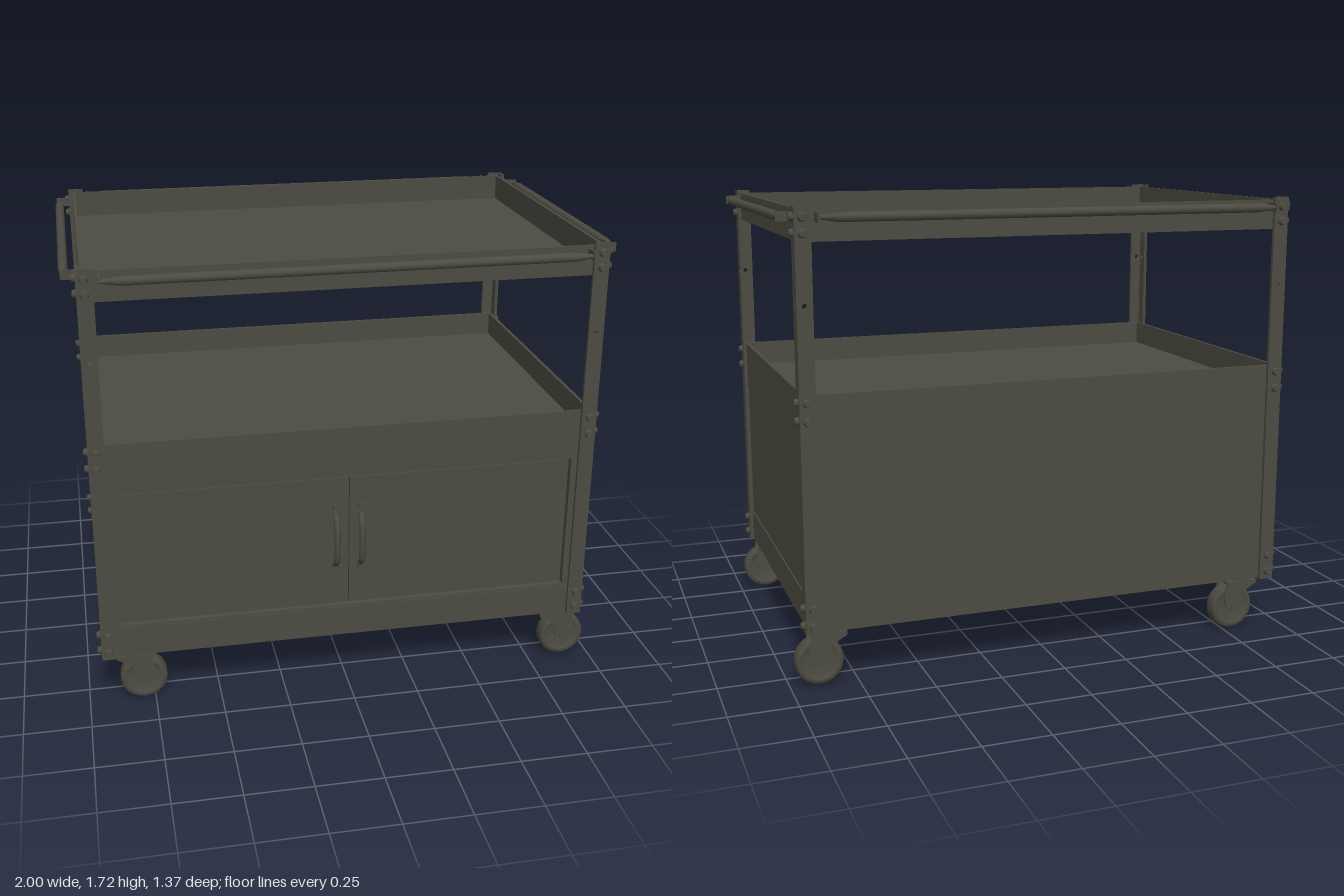
import * as THREE from 'three';

export function createModel() {
  const cart = new THREE.Group();
  cart.name = 'utilityCart';
  const steel = new THREE.MeshStandardMaterial({ color: 0x4d4c42 });
  steel.name = 'olive grey steel';

  const add = (parent, name, geometry, x = 0, y = 0, z = 0) => {
    const mesh = new THREE.Mesh(geometry, steel);
    mesh.name = name;
    mesh.position.set(x, y, z);
    parent.add(mesh);
    return mesh;
  };
  const box = (parent, name, w, h, d, x, y, z) =>
    add(parent, name, new THREE.BoxGeometry(w, h, d), x, y, z);
  const group = (name, parent = cart) => {
    const g = new THREE.Group();
    g.name = name;
    parent.add(g);
    return g;
  };
  const rectangle = (Kind, x0, y0, x1, y1) => new Kind([
    new THREE.Vector2(x0, y0), new THREE.Vector2(x1, y0),
    new THREE.Vector2(x1, y1), new THREE.Vector2(x0, y1)]);
  const extrude = (shape, depth) =>
    new THREE.ExtrudeGeometry(shape, { depth, bevelEnabled: false, curveSegments: 8 });

  // Open trays: floor and four thin walls
  function tray(name, y0, y1) {
    const g = group(name);
    const h = y1 - y0, y = (y0 + y1) / 2, t = 0.012;
    box(g, 'trayFloor', 1.86, t, 1.24, 0, y0 + t / 2, 0);
    for (const s of [-1, 1]) {
      box(g, 'trayLongWall', 1.86, h, t, 0, y, s * (0.62 - t / 2));
      box(g, 'trayEndWall', t, h, 1.24 - 2 * t, s * (0.93 - t / 2), y, 0);
    }
  }
  tray('topTray', 1.6, 1.71);
  tray('middleTray', 0.968, 1.075);
  tray('bottomTray', 0.21, 0.33);

  // Cabinet: back and side panels with a narrow strip above each
  const cabinet = group('cabinet');
  box(cabinet, 'backPanel', 1.84, 0.56, 0.012, 0, 0.605, -0.609);
  box(cabinet, 'backStrip', 1.84, 0.09, 0.012, 0, 0.925, -0.612);
  for (const s of [-1, 1]) {
    box(cabinet, 'sidePanel', 0.012, 0.56, 1.2, s * 0.919, 0.605, 0);
    box(cabinet, 'sideStrip', 0.012, 0.09, 1.2, s * 0.922, 0.925, 0);
  }

  // Front frame with an opening for the doors
  const frame = rectangle(THREE.Shape, -0.92, 0.325, 0.92, 0.97);
  frame.holes.push(rectangle(THREE.Path, -0.865, 0.338, 0.865, 0.878));
  add(cabinet, 'doorFrame', extrude(frame, 0.025), 0, 0, 0.591);
  box(cabinet, 'doorBacking', 1.8, 0.6, 0.006, 0, 0.62, 0.588);

  // Doors with pull handles
  for (const s of [-1, 1]) {
    const door = group(s > 0 ? 'leftDoor' : 'rightDoor', cabinet);
    box(door, 'doorPanel', 0.851, 0.525, 0.014, s * 0.4295, 0.608, 0.6);
    const x = s * 0.048;
    const path = new THREE.CatmullRomCurve3([
      [0.51, 0.605], [0.535, 0.63], [0.58, 0.64], [0.65, 0.64], [0.695, 0.63], [0.72, 0.605],
    ].map(([y, z]) => new THREE.Vector3(x, y, z)));
    add(door, 'doorHandle', new THREE.TubeGeometry(path, 16, 0.012, 8));
    for (const y of [0.5, 0.755]) {
      box(door, 'handleFoot', 0.024, 0.024, 0.012, x, y, 0.612);
      const screw = add(door, 'handleScrew', new THREE.CylinderGeometry(0.009, 0.009, 0.012, 8), x, y, 0.62);
      screw.rotation.x = Math.PI / 2;
    }
  }

  // Angle-iron corner posts, each flange pierced by a small hole
  const flange = rectangle(THREE.Shape, 0, 0.207, 0.058, 1.72);
  const hole = new THREE.Path();
  hole.absarc(0.03, 1.385, 0.009, 0, Math.PI * 2);
  flange.holes.push(hole);
  const flangeGeometry = extrude(flange, 0.013);
  const boltGeometry = new THREE.CylinderGeometry(0.012, 0.017, 0.016, 8);
  const boltHeights = [0.24, 0.305, 0.985, 1.05, 1.63, 1.685];
  for (const sx of [-1, 1]) for (const sz of [-1, 1]) {
    const post = group('cornerPost');
    add(post, 'postFlange', flangeGeometry, sx > 0 ? 0.887 : -0.945, 0, sz > 0 ? 0.62 : -0.633);
    const side = add(post, 'postSideFlange', flangeGeometry, sx > 0 ? 0.932 : -0.945, 0, sz > 0 ? 0.633 : -0.575);
    side.rotation.y = Math.PI / 2;
    for (const y of boltHeights) {
      const a = add(post, 'bolt', boltGeometry, sx * 0.918, y, sz * 0.64);
      a.rotation.x = sz * Math.PI / 2;
      const b = add(post, 'bolt', boltGeometry, sx * 0.952, y, sz * 0.608);
      b.rotation.z = -sx * Math.PI / 2;
    }
  }

  // Push rails around the top tray: tapered rods on thin end plates
  function rail(name, half, reach, angle) {
    const g = group(name);
    const profile = [[0, -half], [0.006, -half], [0.017, -half + 0.07],
      [0.017, half - 0.07], [0.006, half], [0, half]].map(([r, y]) => new THREE.Vector2(r, y));
    const rod = add(g, 'railRod', new THREE.LatheGeometry(profile, 12), 0, 1.684, reach - 0.016);
    rod.rotation.z = Math.PI / 2;
    for (const s of [-1, 1])
      box(g, 'railBracket', 0.007, 0.034, 0.06, s * half, 1.684, reach - 0.035);
    g.rotation.y = angle;
  }
  rail('frontRail', 0.87, 0.685, 0);
  rail('backRail', 0.87, 0.685, Math.PI);
  rail('leftRail', 0.56, 1.0, Math.PI / 2);
  rail('rightRail', 0.56, 1.0, -Math.PI / 2);

  // Swivel casters, all trailing the same way
  const tyre = [[0, -0.02], [0.06, -0.02], [0.066, -0.03], [0.082, -0.03], [0.09, -0.018],
    [0.09, 0.018], [0.082, 0.03], [0.066, 0.03], [0.06, 0.02], [0, 0.02]]
    .map(([r, y]) => new THREE.Vector2(r, y));
  const wheelGeometry = new THREE.LatheGeometry(tyre, 20);
  const axleGeometry = new THREE.CylinderGeometry(0.013, 0.013, 0.095, 8);
  const forkGeometry = extrude(new THREE.Shape([[-0.1, 0.197], [-0.1, 0.185], [-0.04, 0.15],
    [-0.03, 0.09], [0, 0.065], [0.03, 0.085], [0.042, 0.13], [0.03, 0.197]]
    .map(([x, y]) => new THREE.Vector2(x, y))), 0.006);
  for (const wx of [-0.79, 0.89]) for (const sz of [-1, 1]) {
    const caster = group('caster');
    caster.position.set(wx, 0, sz * 0.565);
    add(caster, 'wheel', wheelGeometry, 0, 0.09, 0).rotation.x = Math.PI / 2;
    add(caster, 'axle', axleGeometry, 0, 0.09, 0).rotation.x = Math.PI / 2;
    for (const z of [-0.04, 0.034]) add(caster, 'forkArm', forkGeometry, 0, 0, z);
    box(caster, 'forkCrown', 0.13, 0.01, 0.08, -0.035, 0.192, 0);
    add(caster, 'swivelBearing', new THREE.CylinderGeometry(0.04, 0.04, 0.016, 16), -0.045, 0.204, 0);
  }
  return cart;
}
